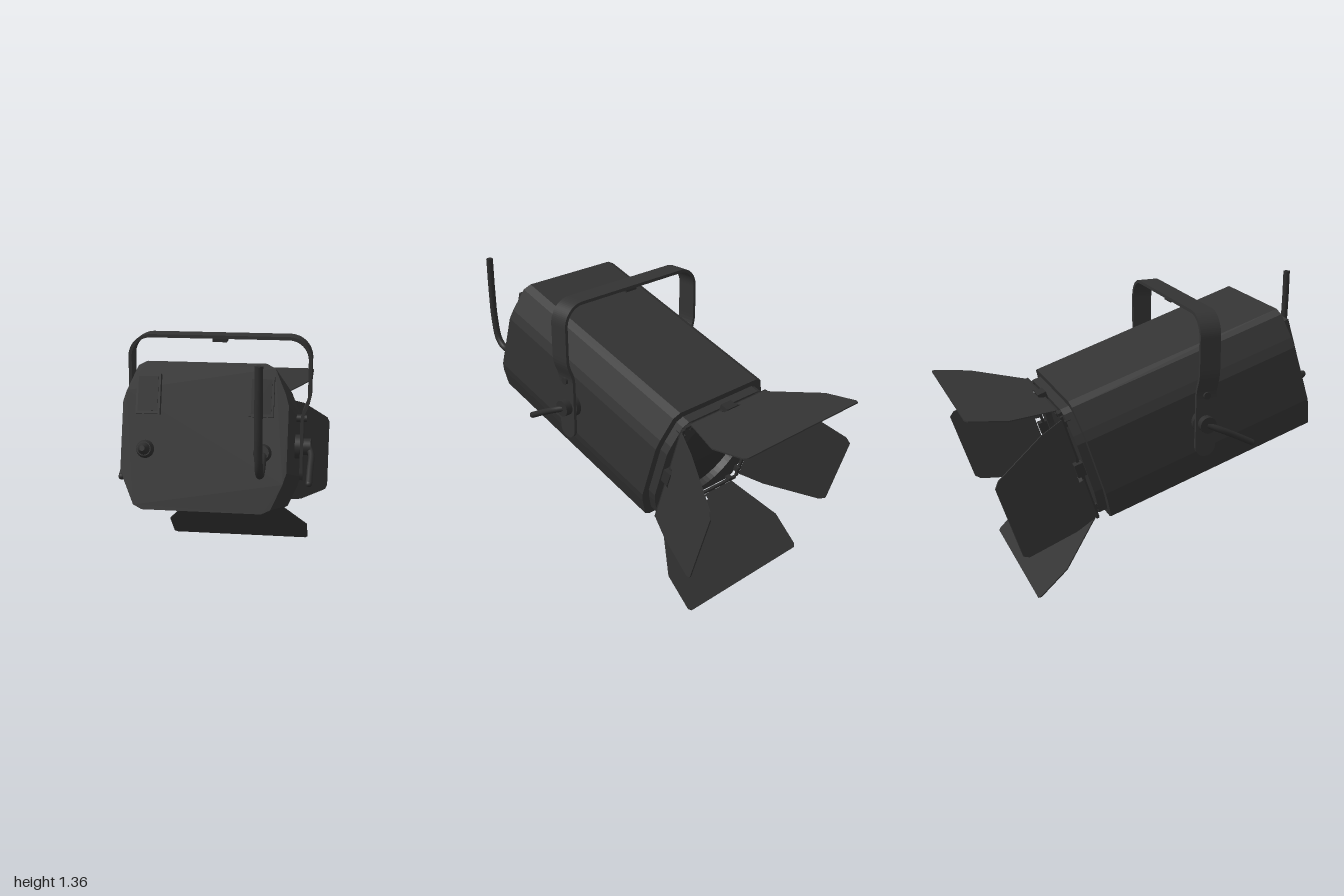
import * as THREE from 'three';

const black = new THREE.MeshStandardMaterial({ color: 0x333333 });
black.name = 'black metal';
const dark = new THREE.MeshStandardMaterial({ color: 0x2d2d2d });
dark.name = 'dark fittings';

function add(parent, name, geo, mat, x = 0, y = 0, z = 0) {
  const m = new THREE.Mesh(geo, mat);
  m.name = name;
  m.position.set(x, y, z);
  parent.add(m);
  return m;
}

const poly = (pts) => new THREE.Shape(pts.map(([x, y]) => new THREE.Vector2(x, y)));
const extrude = (shape, depth) =>
  new THREE.ExtrudeGeometry(shape, { depth, bevelEnabled: false, curveSegments: 32 });

// Housing cross-section with cut corners
function section(s = 1) {
  const q = [[0.375, 0.15], [0.36, 0.2], [0.31, 0.315], [0.27, 0.335]];
  const half = [...q, ...q.map(([x, y]) => [-x, y]).reverse()];
  return poly([...half, ...half.map(([x, y]) => [-x, -y])].map(([x, y]) => [x * s, y * s]));
}

// Flap outline: u across the hinge, v away from it, with a notch for the clip
function flap(side) {
  const edge = side
    ? [[0.28, 0], [0.275, 0.14], [0.215, 0.44], [0.19, 0.468], [0, 0.468]]
    : [[0.26, 0], [0.28, 0.04], [0.405, 0.27], [0.405, 0.455], [0.39, 0.47], [0, 0.47]];
  const right = [[0.06, 0.03], [0.06, 0], ...edge];
  return poly([...right, ...right.slice(0, -1).map(([x, y]) => [-x, y]).reverse()]);
}

// Flat strap following a path, with constant thickness
function strap(points, t, depth) {
  const n = points.map((p, i) => {
    const a = points[Math.max(i - 1, 0)], b = points[Math.min(i + 1, points.length - 1)];
    const d = new THREE.Vector2(b.x - a.x, b.y - a.y).normalize();
    return new THREE.Vector2(-d.y, d.x).multiplyScalar(t / 2);
  });
  const outer = points.map((p, i) => p.clone().add(n[i]));
  const inner = points.map((p, i) => p.clone().sub(n[i])).reverse();
  return extrude(new THREE.Shape([...outer, ...inner]), depth);
}

function createHead() {
  const head = new THREE.Group();
  head.name = 'lampHead';
  head.position.set(0, 0.825, 0.18);
  head.rotation.x = -0.308;

  add(head, 'housing', extrude(section(), 1.154), black, 0, 0, -0.577);

  // Front plate with round opening and lens
  const plate = section(0.9);
  plate.holes.push(new THREE.Path().absarc(0, 0, 0.265, 0, Math.PI * 2, true));
  add(head, 'frontPlate', extrude(plate, 0.045), black, 0, 0, -0.622);
  const lens = new THREE.SphereGeometry(0.265, 40, 10, 0, Math.PI * 2, 0, Math.PI / 2);
  lens.scale(1, 0.13, 1);
  lens.rotateX(-Math.PI / 2);
  add(head, 'lens', lens, dark, 0, 0, -0.578);

  // Flaps, frame bars and hinge clips on all four sides
  for (let i = 0; i < 4; i++) {
    const side = new THREE.Group();
    side.name = ['topFlap', 'rightFlap', 'bottomFlap', 'leftFlap'][i];
    side.rotation.z = i * Math.PI / 2;
    const g = extrude(flap(i % 2 === 1), 0.006);
    g.translate(0, 0, -0.003);
    g.rotateX(-1.137);
    add(side, 'flapPanel', g, black, 0, 0.31, -0.645);
    add(side, 'frameBar', new THREE.BoxGeometry(0.58, 0.016, 0.014), dark, 0, 0.297, -0.64);
    add(side, 'hingeClip', new THREE.BoxGeometry(0.07, 0.04, 0.045), dark, 0, 0.308, -0.645);
    for (const s of [-1, 1]) {
      add(side, 'frameStandoff', new THREE.BoxGeometry(0.03, 0.016, 0.05), dark, s * 0.24, 0.285, -0.625);
    }
    head.add(side);
  }

  // Raised plates on the rear
  for (const s of [-1, 1]) {
    add(head, 'rearPlate', new THREE.BoxGeometry(0.11, 0.18, 0.06), black, s * 0.255, 0.185, 0.577);
    add(head, 'rearPlateFace', new THREE.BoxGeometry(0.09, 0.155, 0.008), dark, s * 0.255, 0.185, 0.607);
    // Round sockets for knob and handle
    const boss = new THREE.CylinderGeometry(0.032, 0.042, 0.035, 24);
    boss.rotateX(Math.PI / 2);
    add(head, 'rearSocket', boss, dark, s * 0.265, -0.063, 0.592);
  }
  const knob = new THREE.CylinderGeometry(0.012, 0.03, 0.04, 20);
  knob.rotateX(Math.PI / 2);
  add(head, 'rearKnob', knob, dark, -0.265, -0.063, 0.625);
  return head;
}

function createYoke() {
  const yoke = new THREE.Group();
  yoke.name = 'yoke';

  // Bent strap over the housing
  const path = new THREE.Path();
  path.moveTo(0.408, 0.7);
  path.lineTo(0.408, 0.95);
  path.bezierCurveTo(0.408, 1.02, 0.443, 1.03, 0.443, 1.1);
  path.lineTo(0.443, 1.26);
  path.absarc(0.338, 1.263, 0.105, 0, Math.PI / 2, false);
  const right = path.getPoints(10);
  const left = right.map((p) => new THREE.Vector2(-p.x, p.y)).reverse();
  add(yoke, 'yokeStrap', strap([...right, ...left], 0.016, 0.106), black, 0, 0, 0.131);
  add(yoke, 'yokeClip', new THREE.BoxGeometry(0.07, 0.022, 0.07), dark, 0, 1.352, 0.184);

  for (const s of [-1, 1]) {
    const disc = (r, w) => new THREE.CylinderGeometry(r, r, w, 28).rotateZ(Math.PI / 2);
    add(yoke, 'yokeEnd', disc(0.053, 0.016), black, s * 0.408, 0.7, 0.184);
    add(yoke, 'pivotWasher', disc(0.06, 0.03), dark, s * 0.386, 0.82, 0.184);
    add(yoke, 'pivotBolt', disc(0.042, 0.04), dark, s * 0.432, 0.82, 0.184);
    add(yoke, 'strapBolt', disc(0.018, 0.05), dark, s * 0.405, 0.965, 0.184);
    // Clamp lever
    const lever = new THREE.CatmullRomCurve3([
      [0.44, 0.82, 0.18], [0.458, 0.795, 0.24], [0.458, 0.75, 0.33], [0.458, 0.702, 0.42],
    ].map(([x, y, z]) => new THREE.Vector3(s * x, y, z)));
    const tube = new THREE.TubeGeometry(lever, 14, 0.016, 10);
    add(yoke, 'clampLever', tube, dark);
    add(yoke, 'leverTip', new THREE.SphereGeometry(0.016, 12, 8), dark, s * 0.458, 0.702, 0.42);
  }
  return yoke;
}

export function createModel() {
  const model = new THREE.Group();
  model.name = 'stageLight';
  model.add(createHead(), createYoke());

  // Curved rear steering handle
  const curve = new THREE.CatmullRomCurve3([
    [0.94, 0.75], [0.93, 0.79], [0.893, 0.84], [0.882, 0.895],
    [0.92, 0.947], [1.03, 0.974], [1.2, 0.982], [1.375, 0.982],
  ].map(([y, z]) => new THREE.Vector3(0.27, y, z)));
  add(model, 'rearHandle', new THREE.TubeGeometry(curve, 40, 0.018, 14), dark);
  const cap = new THREE.CircleGeometry(0.018, 14).rotateX(-Math.PI / 2);
  add(model, 'handleCap', cap, dark, 0.27, 1.375, 0.982);
  return model;
}
